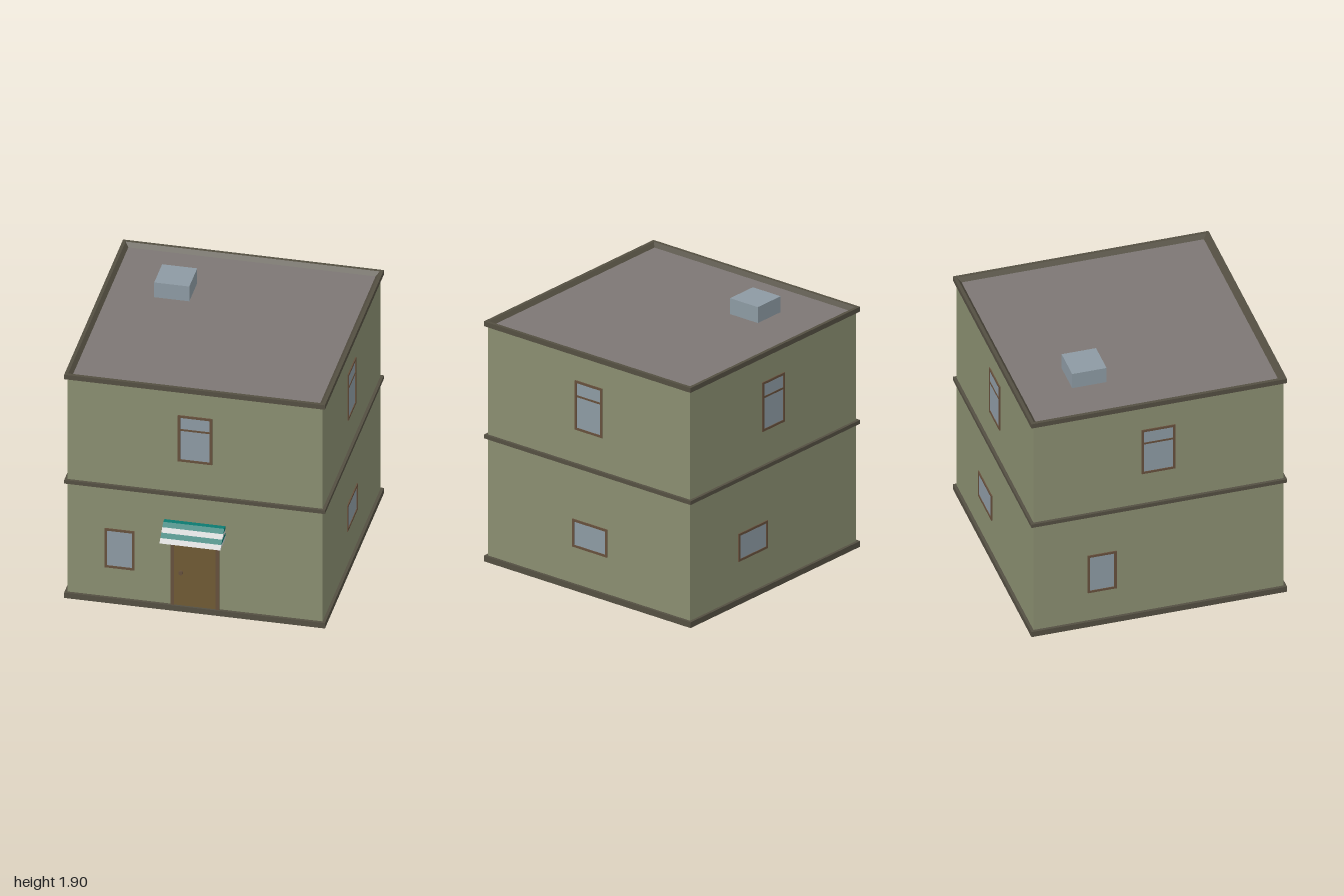
import * as THREE from 'three';

const HALF = 0.908;   // half width of the walls
const OUT = 0.929;    // half width of the trim bands
const CZ = -0.067;    // centre of the house in z

const paint = (color) => new THREE.MeshStandardMaterial({ color, flatShading: true });
const mats = {
  wall: paint(0x8a8e70), trim: paint(0x544f42), frame: paint(0x66503c), door: paint(0x6f5a34),
  glass: paint(0x8d9aa3), roof: paint(0x7d7774), teal: paint(0x0b7a70), pale: paint(0xcccccc),
};

function add(parent, name, geometry, material, x = 0, y = 0, z = 0) {
  const mesh = new THREE.Mesh(geometry, material);
  mesh.name = name;
  mesh.position.set(x, y, z);
  parent.add(mesh);
  return mesh;
}

const box = (w, h, d) => new THREE.BoxGeometry(w, h, d);

// Square ring swept from a closed [half width, height] profile
function squareRing(profile) {
  const points = [...profile, profile[0]].map(([r, y]) => new THREE.Vector2(r * Math.SQRT2, y));
  return new THREE.LatheGeometry(points, 4, Math.PI / 4);
}

function bandRing(y0, y1) {
  const inner = HALF - 0.003;
  return squareRing([[inner, y0], [OUT, y0], [OUT, y1], [inner, y1]]);
}

// Rectangular frame with an opening, centred on the origin
function frameGeometry(w, h, t, depth, openBottom = false) {
  const rect = (path, x0, y0, x1, y1) =>
    path.moveTo(x0, y0).lineTo(x1, y0).lineTo(x1, y1).lineTo(x0, y1).closePath();
  const a = w / 2, b = h / 2;
  const shape = new THREE.Shape();
  if (openBottom) {
    [[-a, -b], [-a + t, -b], [-a + t, b - t], [a - t, b - t], [a - t, -b], [a, -b], [a, b], [-a, b]]
      .forEach(([x, y], i) => (i ? shape.lineTo(x, y) : shape.moveTo(x, y)));
  } else {
    rect(shape, -a, -b, a, b);
    const hole = new THREE.Path();
    rect(hole, -a + t, -b + t, a - t, b - t);
    shape.holes.push(hole);
  }
  return new THREE.ExtrudeGeometry(shape, { depth, bevelEnabled: false });
}

function addWindow(side, name, x, y, w, h, barY) {
  const group = new THREE.Group();
  group.name = name;
  group.position.set(x, y, HALF);
  side.add(group);
  add(group, 'windowFrame', frameGeometry(w, h, 0.017, 0.008), mats.frame);
  add(group, 'windowPane', box(w - 0.03, h - 0.03, 0.006), mats.glass);
  if (barY !== undefined) add(group, 'windowBar', box(w - 0.03, 0.014, 0.012), mats.frame, 0, barY);
}

function addDoor(side) {
  const group = new THREE.Group();
  group.name = 'frontDoor';
  group.position.z = HALF;
  side.add(group);
  add(group, 'doorFrame', frameGeometry(0.348, 0.575, 0.025, 0.013, true), mats.frame, 0, 0.328);
  add(group, 'doorPanel', box(0.304, 0.55, 0.012), mats.door, 0, 0.317);
  const knob = add(group, 'doorKnob', new THREE.CylinderGeometry(0.016, 0.016, 0.016, 16), mats.frame, -0.1, 0.31, 0.012);
  knob.rotation.x = Math.PI / 2;
}

// Solid sloping awning made of four stacked stripes
function addAwning(side) {
  const group = new THREE.Group();
  group.name = 'awning';
  group.position.z = HALF;
  side.add(group);
  const low = 0.62, high = 0.724, step = (high - low) / 4;
  const reach = (y) => 0.159 - 0.122 * (y - low) / (high - low);
  for (let i = 0; i < 4; i++) {
    const y0 = low + i * step, y1 = y0 + step;
    const shape = new THREE.Shape([[0, y0], [reach(y0), y0], [reach(y1), y1], [0, y1]]
      .map(([x, y]) => new THREE.Vector2(x, y)));
    const stripe = new THREE.ExtrudeGeometry(shape, { depth: 0.434, bevelEnabled: false });
    stripe.rotateY(-Math.PI / 2);
    add(group, 'awningStripe', stripe, i % 2 ? mats.teal : mats.pale, 0.215);
  }
}

export function createModel() {
  const model = new THREE.Group();
  model.name = 'house';
  const house = new THREE.Group();
  house.name = 'building';
  house.position.z = CZ;
  model.add(house);

  // Walls, trim bands and roof
  add(house, 'walls', box(HALF * 2, 1.78, HALF * 2), mats.wall, 0, 0.89);
  add(house, 'baseBand', bandRing(0, 0.043), mats.trim);
  add(house, 'middleBand', bandRing(0.93, 0.958), mats.trim);
  add(house, 'roofEdge', squareRing([[0.88, 1.778], [OUT, 1.778], [OUT, 1.814], [0.905, 1.814], [0.88, 1.784]]), mats.trim);
  add(house, 'roof', box(1.764, 0.01, 1.764), mats.roof, 0, 1.78);
  add(house, 'skylight', box(0.25, 0.125, 0.25), mats.glass, -0.433, 1.8425, -0.461 - CZ);

  // Each side: lower window as [x, y, width, height], seen facing that wall
  const sides = [
    ['frontSide', 0, [-0.537, 0.438, 0.212, 0.316]],
    ['leftSide', Math.PI / 2, [0.01, 0.425, 0.315, 0.21]],
    ['backSide', Math.PI, [-0.223, 0.42, 0.32, 0.21]],
    ['rightSide', -Math.PI / 2, [-0.41, 0.436, 0.21, 0.316]],
  ];
  for (const [name, angle, lower] of sides) {
    const side = new THREE.Group();
    side.name = name;
    side.rotation.y = angle;
    house.add(side);
    addWindow(side, 'upperWindow', 0, 1.397, 0.245, 0.372, 0.07);
    addWindow(side, 'lowerWindow', ...lower);
    if (name === 'frontSide') {
      addDoor(side);
      addAwning(side);
    }
  }
  return model;
}
